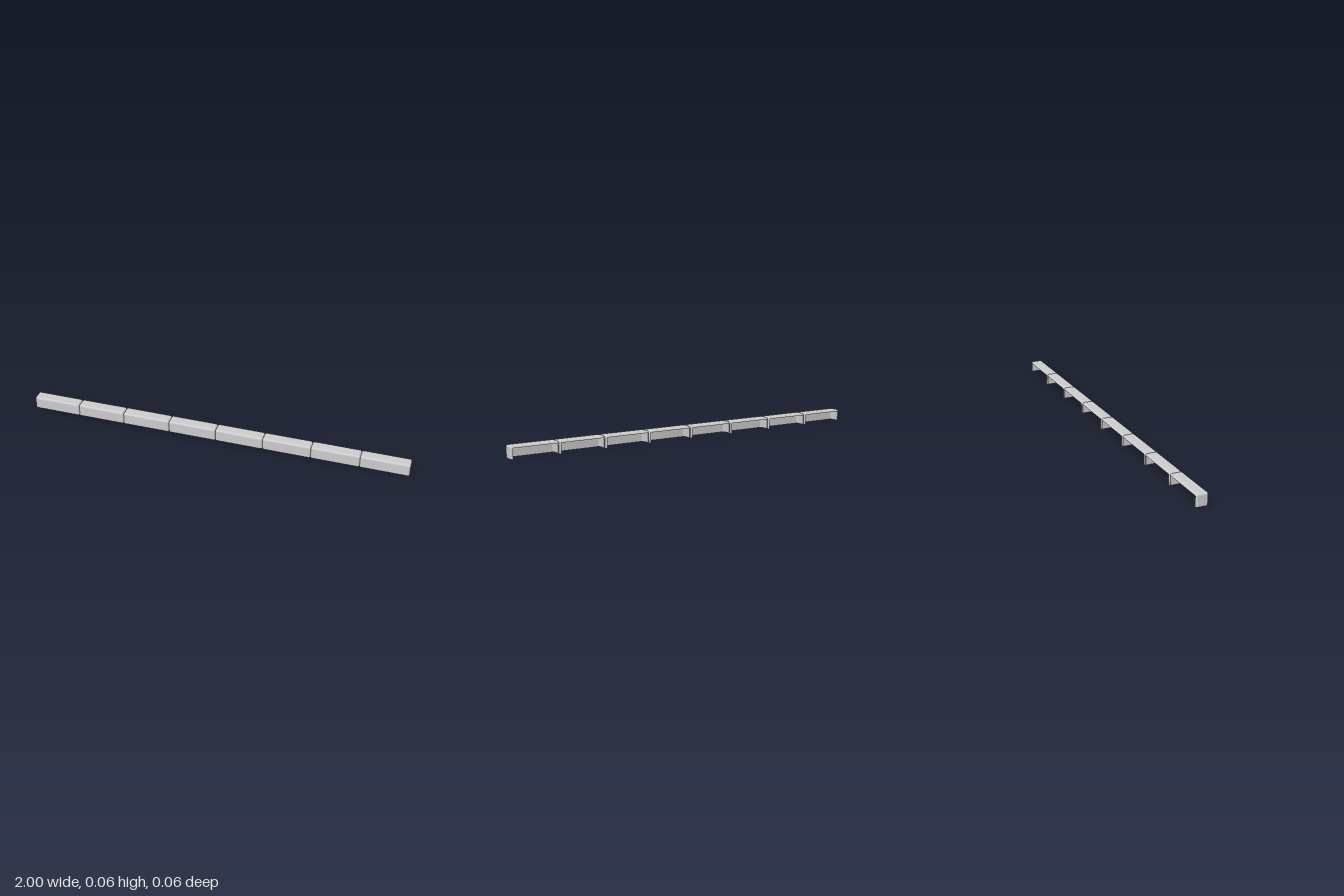
import * as THREE from 'three';
import { RoundedBoxGeometry } from 'three/addons/geometries/RoundedBoxGeometry.js';

const COUNT = 8;
const LENGTH = 2 / COUNT;
const HEIGHT = 0.063;
const DEPTH = 0.062;
const RADIUS = 0.01;

// Hollow kerb block: a rounded box with its flat back and its underside left open
function blockGeometry() {
  const box = new RoundedBoxGeometry(LENGTH, HEIGHT + RADIUS, DEPTH, 3, RADIUS);
  box.translate(0, (HEIGHT - RADIUS) / 2, 0);
  const pos = box.attributes.position;
  const nor = box.attributes.normal;
  const points = [];
  const normals = [];
  for (let i = 0; i < pos.count; i += 3) {
    const corners = [i, i + 1, i + 2];
    const underside = corners.reduce((sum, k) => sum + pos.getY(k), 0) / 3 < 1e-5;
    const flatBack = corners.every((k) => pos.getZ(k) < -DEPTH / 2 + 1e-5);
    if (underside || flatBack) continue;
    for (const k of corners) {
      points.push(pos.getX(k), pos.getY(k), pos.getZ(k));
      normals.push(nor.getX(k), nor.getY(k), nor.getZ(k));
    }
  }
  const geometry = new THREE.BufferGeometry();
  geometry.setAttribute('position', new THREE.Float32BufferAttribute(points, 3));
  geometry.setAttribute('normal', new THREE.Float32BufferAttribute(normals, 3));
  return geometry;
}

export function createModel() {
  const group = new THREE.Group();
  group.name = 'kerb';
  const stone = new THREE.MeshStandardMaterial({ color: 0xcccccc, side: THREE.DoubleSide });
  stone.name = 'light grey stone';

  // Row of identical blocks laid end to end
  const geometry = blockGeometry();
  for (let i = 0; i < COUNT; i++) {
    const block = new THREE.Mesh(geometry, stone);
    block.name = `kerbBlock${i + 1}`;
    block.position.x = (i - (COUNT - 1) / 2) * LENGTH;
    group.add(block);
  }
  return group;
}
